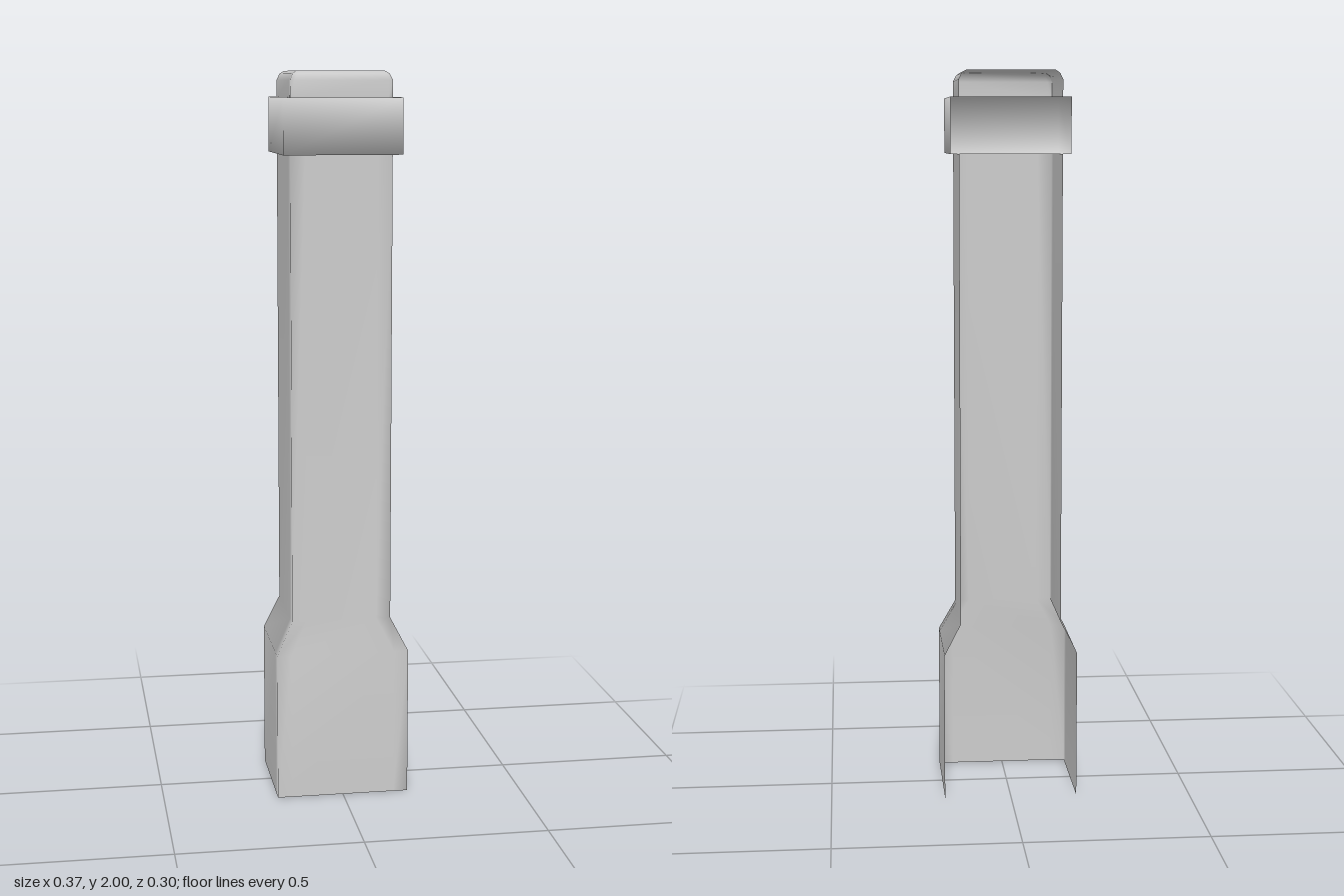
import * as THREE from 'three';

const BACK = -0.152;

// Half-column shell, open at the back: each section is [halfWidth, frontZ, y].
// ease adds points beside the corners so the shading turns there.
function shell(name, material, sections, { ease = 0, bottom = false, top = false } = {}) {
  const pos = [], index = [];
  let n = 0;
  for (const [w, f, y] of sections) {
    const half = ease ? [[w, BACK], [w, f - ease], [w, f], [w - ease, f]] : [[w, BACK], [w, f]];
    const path = [...half.map(([x, z]) => [-x, z]), ...half.slice().reverse()];
    n = path.length;
    for (const [x, z] of path) pos.push(x, y, z);
  }
  for (let j = 0; j < sections.length - 1; j++) {
    for (let i = 0; i < n - 1; i++) {
      const a = j * n + i, b = a + 1, c = a + n, d = b + n;
      index.push(a, b, d, a, d, c);
    }
  }
  // End plates as fans
  const last = (sections.length - 1) * n;
  for (let i = 1; i < n - 1; i++) {
    if (bottom) index.push(0, i + 1, i);
    if (top) index.push(last, last + i, last + i + 1);
  }
  const geo = new THREE.BufferGeometry();
  geo.setAttribute('position', new THREE.Float32BufferAttribute(pos, 3));
  geo.setIndex(index);
  geo.computeVertexNormals();
  const mesh = new THREE.Mesh(geo, material);
  mesh.name = name;
  return mesh;
}

export function createModel() {
  const stone = new THREE.MeshStandardMaterial({ color: 0xcccccc, side: THREE.DoubleSide });
  stone.name = 'pale grey stone';

  const group = new THREE.Group();
  group.name = 'halfColumn';
  group.add(
    // Wide base tapering into the long shaft
    shell('baseAndShaft', stone, [
      [0.184, 0.152, 0], [0.184, 0.152, 0.41], [0.138, 0.123, 0.5], [0.138, 0.123, 1.78],
    ], { ease: 0.04 }),
    // Projecting collar with its ledges
    shell('collar', stone, [
      [0.161, 0.152, 1.78], [0.161, 0.152, 1.93],
    ], { bottom: true, top: true }),
    // Cap with softened upper edge
    shell('cap', stone, [
      [0.138, 0.123, 1.93], [0.138, 0.123, 1.975], [0.13, 0.115, 1.992], [0.118, 0.105, 2],
    ], { ease: 0.012, top: true }),
  );
  return group;
}
